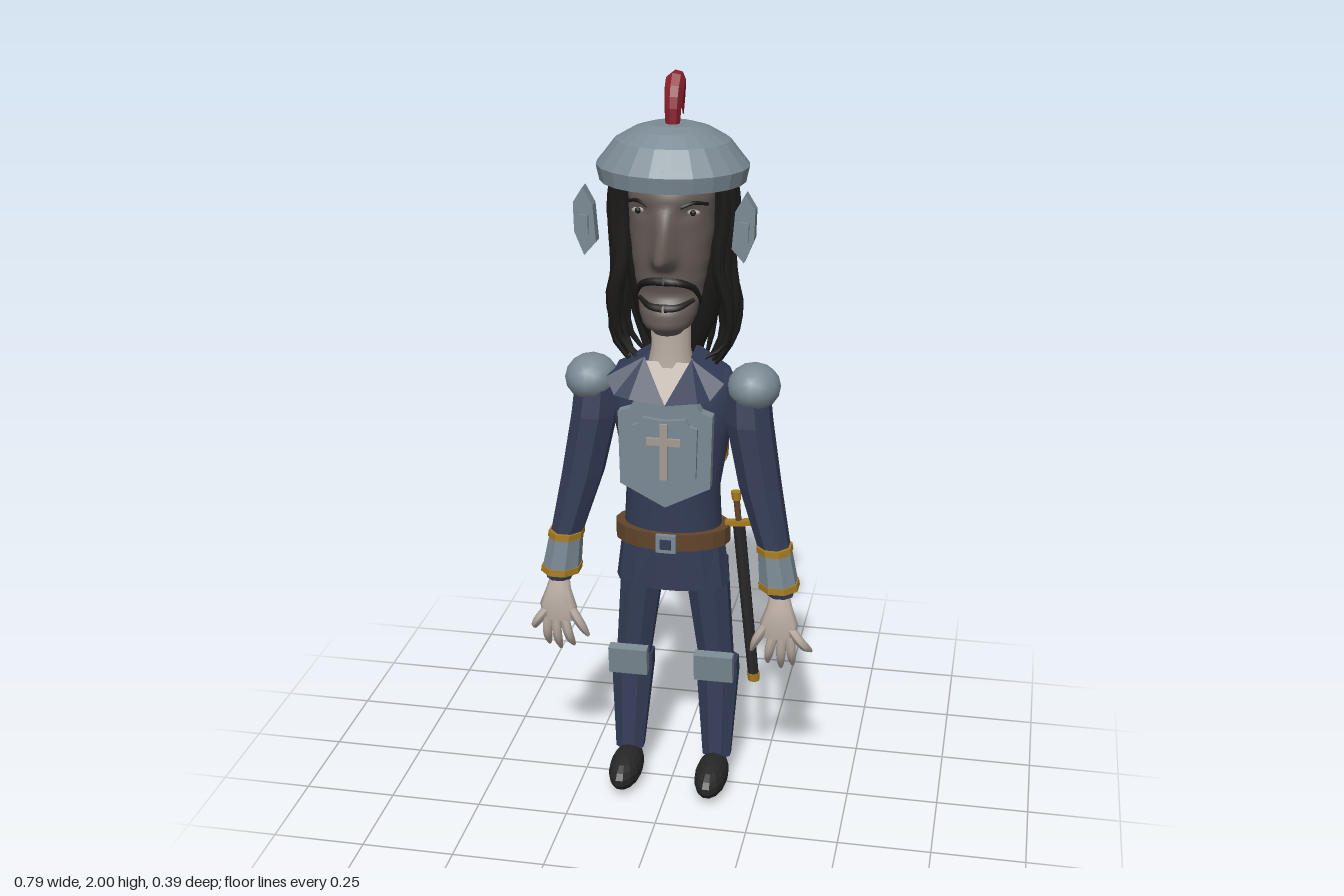
import * as THREE from 'three';

const mat = (name, color, extra) => {
  const m = new THREE.MeshStandardMaterial({ color, ...extra });
  m.name = name;
  return m;
};

export function createModel() {
  const model = new THREE.Group();
  const navy = mat('navyCloth', 0x343d57, { side: THREE.DoubleSide });
  const steel = mat('steel', 0x7b8a94);
  const gold = mat('gold', 0xa67c22);
  const red = mat('plumeRed', 0x8a202c);
  const black = mat('hairBlack', 0x1c1b1a);
  const boot = mat('bootBlack', 0x272727);
  const brown = mat('leatherBrown', 0x60452a);
  const skin = mat('skin', 0xbdb0a6, { side: THREE.DoubleSide });
  const face = mat('faceSkin', 0x655b56);
  const stone = mat('paleStone', 0xa59a93);

  const add = (name, geo, material, parent = model) => {
    const mesh = new THREE.Mesh(geo, material);
    mesh.name = name;
    parent.add(mesh);
    return mesh;
  };
  const group = (name) => {
    const g = new THREE.Group();
    g.name = name;
    model.add(g);
    return g;
  };
  const flat = (geo) => {
    const g = geo.index ? geo.toNonIndexed() : geo;
    g.computeVertexNormals();
    return g;
  };

  // Skin over elliptical rings [y, cx, cz, rx, rz], listed from top to bottom, with end caps
  const loft = (rings, sides, smooth = false) => {
    const pos = [], idx = [];
    const ring = ([y, cx, cz, rx, rz]) => {
      for (let j = 0; j < sides; j++) {
        const a = ((j + 0.5) / sides) * Math.PI * 2;
        pos.push(cx + rx * Math.sin(a), y, cz + rz * Math.cos(a));
      }
    };
    rings.forEach(ring);
    for (let i = 0; i < rings.length - 1; i++)
      for (let j = 0; j < sides; j++) {
        const k = (j + 1) % sides, t = i * sides, b = t + sides;
        idx.push(t + j, b + j, t + k, t + k, b + j, b + k);
      }
    for (const top of [true, false]) {
      const r = top ? rings[0] : rings[rings.length - 1];
      const s = pos.length / 3;
      ring(r);
      pos.push(r[1], r[0], r[2]);
      for (let j = 0; j < sides; j++) {
        const k = (j + 1) % sides;
        idx.push(s + sides, s + (top ? j : k), s + (top ? k : j));
      }
    }
    const g = new THREE.BufferGeometry();
    g.setAttribute('position', new THREE.Float32BufferAttribute(pos, 3));
    g.setIndex(idx);
    g.computeVertexNormals();
    return smooth ? g : flat(g);
  };

  // Tube along points whose radius follows radiusAt(t)
  const taper = (pts, radiusAt, seg = 10, sides = 6) => {
    const curve = new THREE.CatmullRomCurve3(pts.map((p) => new THREE.Vector3(...p)));
    const g = new THREE.TubeGeometry(curve, seg, 1, sides);
    const p = g.attributes.position, v = new THREE.Vector3();
    for (let i = 0; i < p.count; i++) {
      const t = Math.floor(i / (sides + 1)) / seg;
      const c = curve.getPointAt(t);
      v.fromBufferAttribute(p, i).sub(c).multiplyScalar(radiusAt(t)).add(c);
      p.setXYZ(i, v.x, v.y, v.z);
    }
    g.computeVertexNormals();
    return g;
  };

  // Symmetric plate from a half outline, between z0 and z1, optionally with an inset hole
  const outline = (half, k, cy, C) => {
    const h = half.map(([x, y]) => [x * k, cy + (y - cy) * k]);
    const other = h.slice(1, -1).reverse().map(([x, y]) => [-x, y]);
    return new C([...h, ...other].map(([x, y]) => new THREE.Vector2(x, y)));
  };
  const plate = (half, z0, z1, k = 1, cy = 0, hole = 0) => {
    const s = outline(half, k, cy, THREE.Shape);
    if (hole) s.holes.push(outline(half, hole, cy, THREE.Path));
    return new THREE.ExtrudeGeometry(s, { depth: z1 - z0, bevelEnabled: false }).translate(0, 0, z0);
  };
  const box = (w, h, d, x, y, z) => new THREE.BoxGeometry(w, h, d).translate(x, y, z);

  // Head: rows of y, half width, front z, back z, with a ridge pushed out for the nose
  const rows = [[1.78, .09, .09, -.09], [1.7, .11, .115, -.1], [1.62, .108, .11, -.1], [1.55, .1, .115, -.09],
    [1.5, .092, .112, -.07], [1.46, .085, .103, -.05], [1.41, .075, .128, -.03], [1.38, .065, .13, -.01], [1.352, .035, .1, .02]];
  const headRing = (y) => {
    let i = 0;
    while (i < rows.length - 2 && rows[i + 1][0] > y) i++;
    const a = rows[i], b = rows[i + 1], t = THREE.MathUtils.clamp((a[0] - y) / (a[0] - b[0]), 0, 1);
    const [w, f, r] = [1, 2, 3].map((n) => THREE.MathUtils.lerp(a[n], b[n], t * t * (3 - 2 * t)));
    return [y, 0, (f + r) / 2, w, (f - r) / 2];
  };
  const onFace = (x, y, out = 0) => {
    const [, , cz, rx, rz] = headRing(y);
    return [x, y, cz + rz * Math.sqrt(Math.max(0, 1 - (x / rx) ** 2)) + out];
  };
  const head = group('head');
  const skull = loft(Array.from({ length: 45 }, (_, i) => headRing(1.78 - (i / 44) * 0.428)), 56, true);
  const sp = skull.attributes.position;
  for (let i = 0; i < sp.count; i++) {
    const x = sp.getX(i), y = sp.getY(i), z = sp.getZ(i);
    if (z < 0.04) continue;
    const nose = y > 1.56 ? Math.max(0, 1 - (y - 1.56) / 0.13) : Math.max(0, 1 - (1.56 - y) / 0.035);
    const socket = Math.exp(-(((Math.abs(x) - 0.06) / 0.025) ** 2) - ((y - 1.675) / 0.018) ** 2);
    sp.setZ(i, z + 0.083 * nose * Math.exp(-((x / 0.024) ** 2)) - 0.01 * socket);
  }
  skull.computeVertexNormals();
  add('face', skull, face, head);
  for (const s of [-1, 1]) {
    const eye = new THREE.SphereGeometry(1, 10, 6).scale(.018, .008, .006);
    add('eye', eye.translate(...onFace(s * .07, 1.675, -.002)), stone, head);
    const pupil = new THREE.SphereGeometry(1, 8, 6).scale(.008, .008, .006);
    add('pupil', pupil.translate(...onFace(s * .07, 1.675, .002)), black, head);
    add('eyebrow', taper([onFace(s * .04, 1.69), onFace(s * .07, 1.7), onFace(s * .1, 1.69)], () => .005), black, head);
    add('moustache', taper([onFace(0, 1.5), onFace(s * .04, 1.495), onFace(s * .07, 1.475), onFace(s * .083, 1.43)],
      (t) => .012 - .006 * t), black, head);
    add('beard', taper([onFace(0, 1.43), onFace(s * .035, 1.432), onFace(s * .07, 1.445)], (t) => .012 - .006 * t), black, head);
  }
  add('neck', loft([[1.42, 0, .025, .055, .05], [1.3, 0, .015, .052, .05], [1.2, 0, .02, .07, .055]], 14, true), skin);

  // Long hair: a core and wavy strands round the back
  const hair = group('hair');
  add('hairCore', loft([[1.77, 0, -.045, .145, .075], [1.5, 0, -.055, .135, .065], [1.36, 0, -.065, .11, .055],
    [1.25, 0, -.08, .06, .04]], 16, true), black, hair);
  const N = 25;
  for (let i = 0; i < N; i++) {
    const u = (i / (N - 1)) * 2 - 1, a = u * 1.98;
    const end = 1.21 + .05 * u * u + .015 * Math.sin(i * 2.4);
    const prof = [[1.77, .95], [1.64, 1], [1.52, .94], [1.41, 1.06], [1.31, 1.0], [end, .68]];
    const pts = prof.map(([y, k], n) => {
      const w = n ? .007 * Math.sin(i * 1.9 + n * 1.7) : 0;
      return [Math.sin(a) * .15 * k + w, y, -.02 - Math.cos(a) * .1 - (n ? w : 0)];
    });
    add('hairStrand', taper(pts, (t) => .019 * (t < .6 ? 1 : 1 - (t - .6) * 2), 14), black, hair);
  }

  // Helmet with plume and cheek guards
  const helmet = group('helmet');
  add('helmetDome', loft([[1.877, 0, -.008, .06, .053], [1.865, 0, -.008, .1, .09], [1.838, 0, -.008, .147, .131],
    [1.79, 0, -.008, .184, .164]], 22), steel, helmet);
  add('helmetBrim', loft([[1.792, 0, -.008, .183, .163], [1.775, 0, -.008, .196, .174], [1.735, 0, -.008, .187, .168]], 22), steel, helmet);
  add('plume', flat(taper([[0, 1.865, -.004], [0, 1.93, -.01], [0, 1.975, -.04], [0, 1.972, -.085], [0, 1.93, -.125], [0, 1.87, -.15]],
    (t) => (t < .4 ? .018 + .02 * t : .026 * (1 - (t - .4) / .62)), 12, 7)), red, helmet);
  for (const s of [-1, 1]) {
    const pts = [[.205, 1.735], [.23, 1.695], [.228, 1.62], [.203, 1.56], [.172, 1.595], [.18, 1.69]];
    const shape = new THREE.Shape(pts.map(([x, y]) => new THREE.Vector2(x * s, y)));
    add('cheekGuard', new THREE.ExtrudeGeometry(shape, { depth: .035, bevelEnabled: false }).translate(0, 0, .083), steel, helmet);
    add('guardRivet', box(.025, .05, .012, s * .203, 1.64, .121), steel, helmet);
  }

  // Tunic, open collar, belt
  add('tunic', loft([[1.265, 0, -.03, .07, .05], [1.235, 0, -.02, .15, .08], [1.17, 0, -.018, .18, .098],
    [1.05, 0, -.015, .152, .097], [.9, 0, -.015, .127, .09], [.74, 0, -.015, .135, .085]], 20, true), navy);
  add('tunicSkirt', loft([[.76, 0, -.015, .14, .085], [.62, 0, -.015, .157, .085]], 14), navy);
  add('belt', loft([[.792, 0, -.012, .157, .1], [.745, 0, -.012, .157, .1]], 18), brown);
  add('buckle', box(.054, .05, .014, 0, .768, .091), steel);
  add('buckleCentre', box(.03, .028, .006, 0, .768, .098), navy);
  const sheet = (pts) => {
    const g = new THREE.BufferGeometry().setFromPoints(pts.map((p) => new THREE.Vector3(...p)));
    g.setIndex(pts.slice(2).flatMap((_, i) => [0, i + 1, i + 2]));
    return flat(g);
  };
  add('openChest', sheet([[0, 1.165, .106], [.062, 1.27, .062], [-.062, 1.27, .062]]), skin);
  for (const s of [-1, 1]) {
    add('collarFlap', sheet([[s * .062, 1.28, .06], [0, 1.165, .11], [s * .09, 1.185, .13], [s * .125, 1.2, .145],
      [s * .155, 1.235, .105], [s * .09, 1.27, .05]]), navy);
    add('collarSide', sheet([[s * .06, 1.285, .06], [s * .155, 1.235, .105], [s * .13, 1.24, -.05], [s * .055, 1.285, -.06]]), navy);
  }

  // Breastplate and back shield, each with a cross
  const breast = [[0, 1.165], [.08, 1.175], [.095, 1.15], [.125, 1.14], [.12, .94], [0, .878]];
  add('breastplate', plate(breast, .07, .103), steel);
  add('breastplatePanel', plate(breast, .1, .117, .7, 1.035), steel);
  const cross = (name, cy, h, w, bar, z) => {
    add(name, box(.02, h, .01, 0, cy, z), stone);
    add(name + 'Bar', box(w, .02, .0098, 0, bar, z), stone);
  };
  cross('breastCross', 1.042, .155, .09, 1.07, .12);
  const shield = [[0, 1.108], [.1, 1.125], [.126, 1.085], [.122, .925], [.07, .85], [0, .797]];
  add('shieldRim', plate(shield, -.185, -.145, 1, .97, .84), gold);
  add('shieldPanel', plate(shield, -.19, -.155, .85, .97), navy);
  cross('shieldCross', .985, .2, .13, 1.025, -.194);

  for (const s of [-1, 1]) {
    // Arm
    const arm = group(s > 0 ? 'leftArm' : 'rightArm');
    const ball = new THREE.IcosahedronGeometry(1, 2).scale(.07, .062, .08);
    add('shoulderGuard', ball.translate(s * .217, 1.196, 0), steel, arm);
    add('sleeve', loft([[1.2, s * .2, 0, .06, .06], [1.1, s * .208, .005, .063, .07], [.93, s * .24, .018, .058, .062],
      [.75, s * .286, .036, .044, .05]], 8), navy, arm);
    add('bracer', loft([[.757, s * .285, .038, .046, .055], [.648, s * .3, .042, .054, .06]], 8), steel, arm);
    add('bracerTopTrim', loft([[.767, s * .284, .038, .049, .058], [.75, s * .286, .038, .05, .059]], 8), gold, arm);
    add('bracerLowTrim', loft([[.665, s * .298, .042, .056, .062], [.647, s * .3, .042, .057, .063]], 8), gold, arm);
    add('cuff', loft([[.655, s * .3, .043, .04, .045], [.625, s * .305, .045, .036, .036]], 8), navy, arm);
    add('palm', loft([[.64, s * .302, .05, .024, .022], [.595, s * .305, .06, .035, .023], [.55, s * .305, .068, .052, .02],
      [.505, s * .304, .066, .046, .016]], 10, true), skin, arm);
    const fingers = [[.335, .535, .388, .45, .02], [.336, .515, .341, .412, .035], [.314, .51, .309, .4, .033],
      [.29, .51, .272, .412, .033], [.27, .54, .228, .45, .045]];
    for (const [x0, y0, x1, y1, z] of fingers)
      add('finger', taper([[s * x0, y0, .068], [s * (x0 * .4 + x1 * .6), (y0 + y1) / 2, .066], [s * x1, y1, z]],
        (t) => .014 - .009 * t ** 3, 6, 7), skin, arm);

    // Leg
    const leg = group(s > 0 ? 'leftLeg' : 'rightLeg');
    add('thigh', loft([[.68, s * .085, -.04, .064, .055], [.36, s * .118, -.045, .05, .045]], 8), navy, leg);
    add('shin', loft([[.37, s * .12, -.052, .06, .055], [.33, s * .121, -.05, .062, .056], [.08, s * .125, -.02, .042, .036]], 8), navy, leg);
    const knee = add('kneeGuard', box(.108, .08, .03, 0, 0, 0), steel, leg);
    knee.position.set(s * .12, .374, .018);
    knee.rotation.x = .12;
    add('shoe', flat(new THREE.SphereGeometry(1, 14, 9).scale(.046, .05, .105)).translate(s * .122, .05, .05), boot, leg);
  }

  // Sheathed sword hanging from the left hip
  const sword = group('sword');
  const rod = (name, y0, y1, r, m) => {
    const x = (y) => .17 + (.885 - y) * .102;
    add(name, loft([[y1, x(y1), -.018, r, r], [y0, x(y0), -.018, r * .9, r * .9]], 8), m, sword);
  };
  rod('pommel', .865, .888, .014, gold);
  rod('grip', .8, .866, .009, brown);
  rod('scabbard', .345, .79, .017, boot);
  rod('scabbardTip', .325, .348, .018, gold);
  const guard = add('crossGuard', box(.075, .014, .022, 0, 0, 0), gold, sword);
  guard.position.set(.18, .798, -.018);
  guard.rotation.z = .1;
  return model;
}
